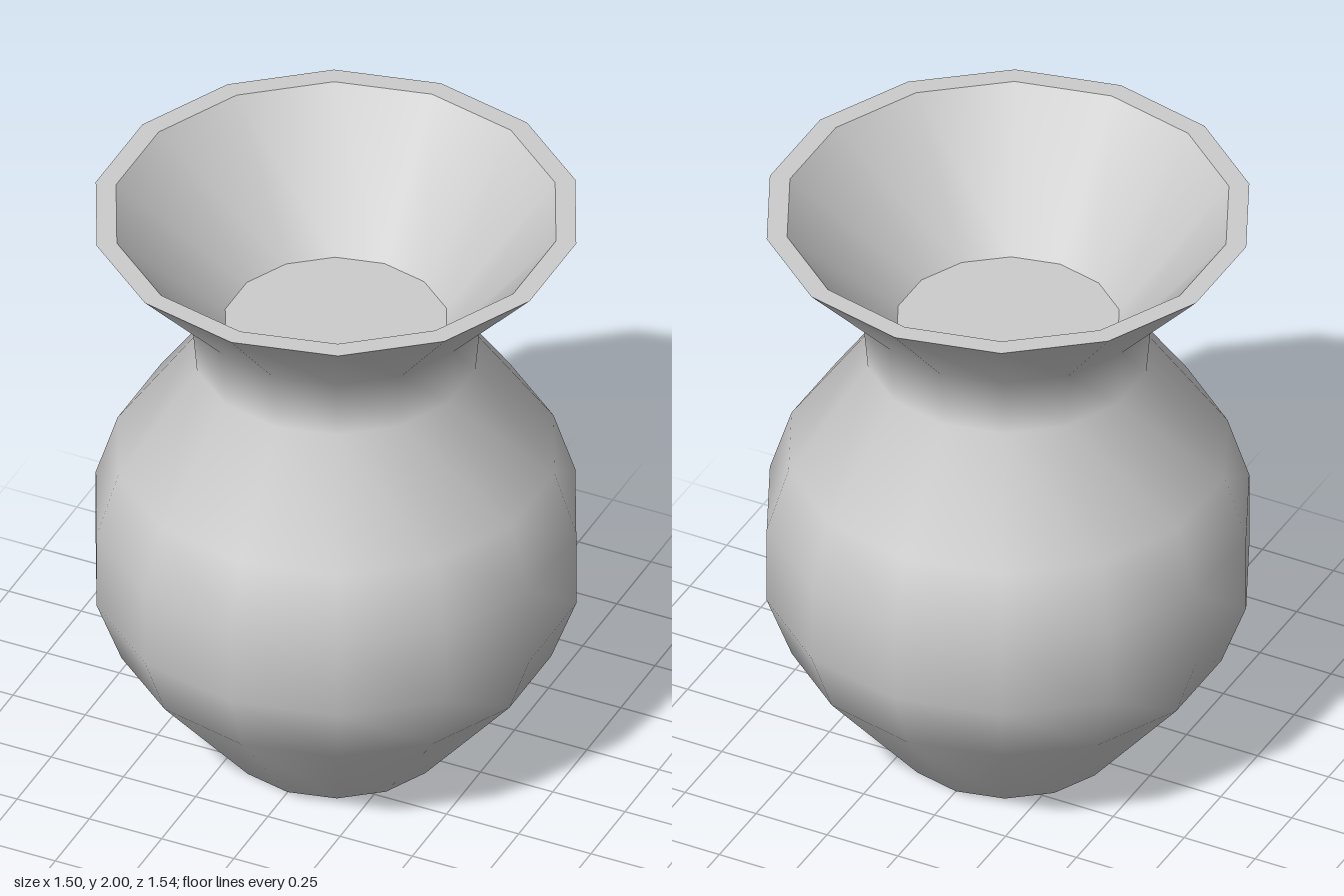
import * as THREE from 'three';

const SIDES = 14;

export function createModel() {
  const vase = new THREE.Group();
  vase.name = 'vase';
  const material = new THREE.MeshStandardMaterial({ color: 0xcccccc });

  // Each part is its own lathe, so shading is smooth within it and sharp at its borders.
  // Profiles run as [radius, height] along one path, which keeps the faces outward.
  function turn(name, profile) {
    const points = profile.map(([r, y]) => new THREE.Vector2(r, y));
    const mesh = new THREE.Mesh(new THREE.LatheGeometry(points, SIDES), material);
    mesh.name = name;
    vase.add(mesh);
  }

  const foot = [0.355, 0];
  const lip = [0.77, 2];
  const innerLip = [0.705, 2];
  const floorEdge = [0.355, 1.575];

  turn('base', [[0, 0], foot]);
  // Belly, neck and flared mouth
  turn('body', [
    foot, [0.69, 0.4], [0.77, 0.615], [0.77, 0.885],
    [0.7, 1.105], [0.447, 1.465], [0.465, 1.67], lip,
  ]);
  turn('rim', [lip, innerLip]);
  // Shallow funnel closed by a flat floor inside the neck
  turn('funnel', [innerLip, floorEdge]);
  turn('funnelFloor', [floorEdge, [0, 1.575]]);

  return vase;
}
